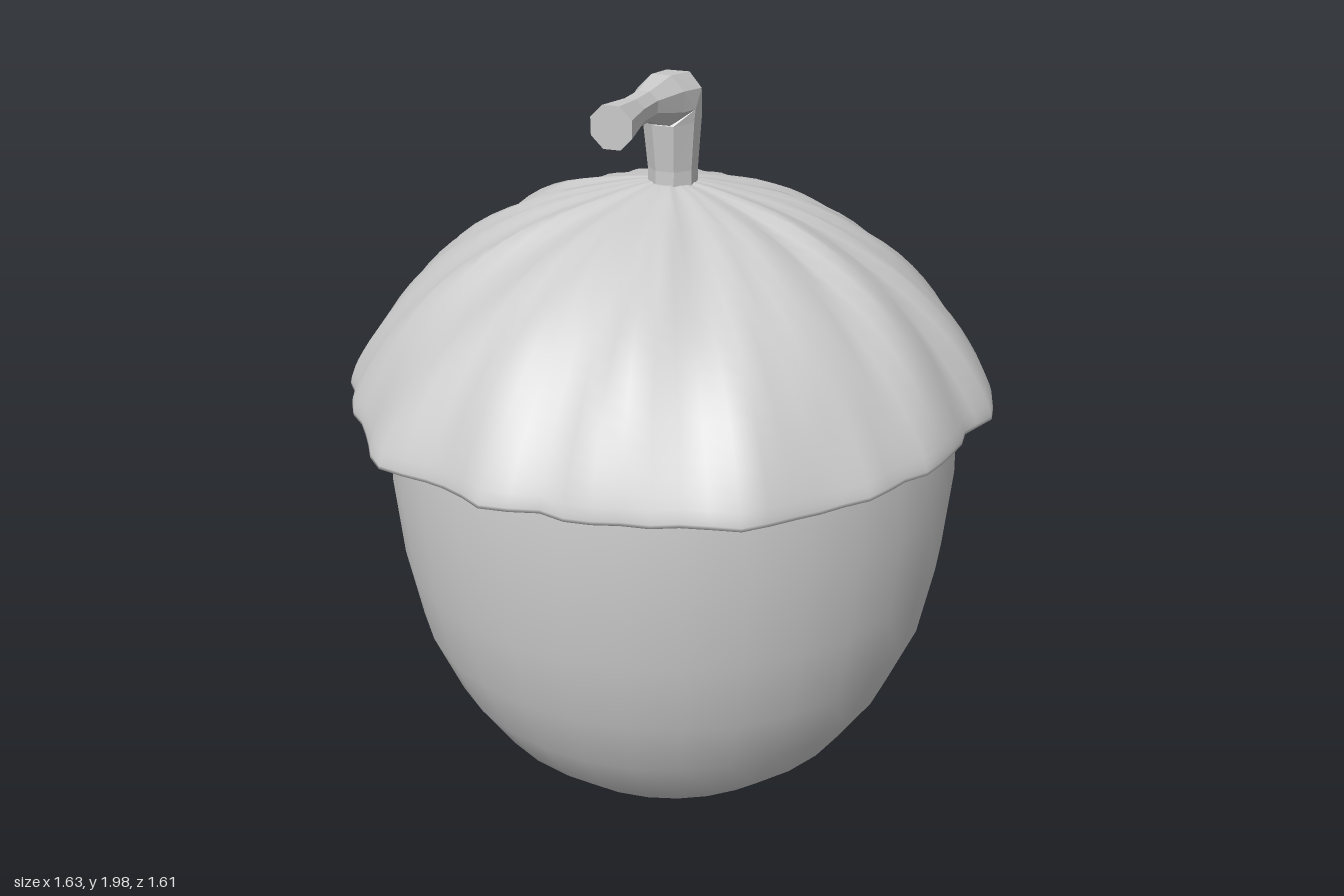
import * as THREE from 'three';
import { mergeVertices } from 'three/addons/utils/BufferGeometryUtils.js';

const material = (options = {}) => new THREE.MeshStandardMaterial({ color: 0xcccccc, ...options });

// Small seeded generator for the irregular rim
function seeded(seed) {
  return () => {
    seed = (seed * 16807) % 2147483647;
    return seed / 2147483647;
  };
}

// Turned body with welded seam; an optional rule moves each vertex
function turned(profile, segments, rule) {
  const geometry = new THREE.LatheGeometry(profile, segments);
  if (rule) {
    const p = geometry.attributes.position;
    const v = new THREE.Vector3();
    for (let i = 0; i < p.count; i++) {
      rule(v.fromBufferAttribute(p, i));
      p.setXYZ(i, v.x, v.y, v.z);
    }
  }
  geometry.deleteAttribute('uv');
  geometry.deleteAttribute('normal');
  const welded = mergeVertices(geometry, 1e-4);
  welded.computeVertexNormals();
  return welded;
}

const points = (list) => list.map(([r, y]) => new THREE.Vector2(r, y));

// Smooth nut with a small pointed tip
function createNut() {
  const profile = points([
    [0, 0.01], [0.07, 0.035], [0.14, 0.06], [0.19, 0.093], [0.28, 0.128], [0.4, 0.19],
    [0.51, 0.29], [0.6, 0.43], [0.67, 0.6], [0.705, 0.79], [0.722, 1.0], [0.715, 1.2], [0.69, 1.3],
  ]);
  const nut = new THREE.Mesh(turned(profile, 32), material({ side: THREE.DoubleSide }));
  nut.name = 'nut';
  nut.position.set(0.01, 0, -0.01);
  return nut;
}

// Wrinkled cap with a ragged rim
function createCap() {
  const random = seeded(71);
  const count = 40;
  const jitter = Array.from({ length: count }, () => random() - 0.5);
  const ragged = (angle) => {
    const t = ((angle / (2 * Math.PI) + 1) % 1) * count;
    const i = Math.floor(t) % count;
    return THREE.MathUtils.lerp(jitter[i], jitter[(i + 1) % count], t - Math.floor(t));
  };
  const dome = new THREE.SplineCurve(points([
    [0.795, 1.205], [0.785, 1.24], [0.74, 1.32], [0.665, 1.42], [0.56, 1.52],
    [0.43, 1.605], [0.3, 1.665], [0.17, 1.703], [0.07, 1.725], [0, 1.73],
  ])).getPoints(26);
  dome[dome.length - 1].x = 0;
  const profile = [...points([[0.66, 1.3], [0.7, 1.215], [0.76, 1.195]]), ...dome];

  const wrinkle = (v) => {
    const r = Math.hypot(v.x, v.z);
    if (r < 0.01) return;
    const angle = Math.atan2(v.x, v.z);
    const rim = THREE.MathUtils.smoothstep(r, 0.45, 0.8);
    const wave = 0.007 * Math.sin(17 * angle + 6 * r) + 0.007 * Math.sin(11 * angle - 9 * v.y)
      + 0.005 * Math.sin(29 * angle + 14 * r);
    const push = wave * Math.min(1, r / 0.3) + 0.035 * rim * ragged(angle + 0.25 * (v.y - 1.2));
    const scale = 1 + push / Math.max(r, 0.3);
    v.x *= scale;
    v.z *= scale;
    v.y += push * 0.5 * (1 - rim) + 0.014 * rim * ragged(angle * 1 + 2);
  };
  const cap = new THREE.Mesh(turned(profile, 80, wrinkle), material({ side: THREE.DoubleSide }));
  cap.name = 'cap';
  return cap;
}

// Faceted stem bent forward, with a flared end
function createStem() {
  const sides = 8;
  // [y, z, radius, lean towards the front]
  const sections = [
    [1.68, -0.005, 0.06, 0], [1.76, -0.005, 0.06, 0], [1.88, 0, 0.07, 0.12], [1.93, 0.01, 0.075, 0.8],
    [1.935, 0.075, 0.062, 1.5], [1.945, 0.18, 0.036, 1.52], [1.945, 0.26, 0.036, 1.57], [1.94, 0.37, 0.052, 1.6],
  ];
  const vertices = [];
  const faces = [];
  sections.forEach(([y, z, radius, lean], row) => {
    for (let j = 0; j < sides; j++) {
      const a = ((j + 0.5) / sides) * Math.PI * 2;
      const across = radius * Math.sin(a);
      vertices.push(0.01 + radius * Math.cos(a), y + across * Math.sin(lean), z - across * Math.cos(lean));
      if (row === 0) continue;
      const k = (j + 1) % sides;
      const low = (row - 1) * sides;
      const high = row * sides;
      faces.push(low + j, low + k, high + k, low + j, high + k, high + j);
    }
  });
  // Flat end
  const last = (sections.length - 1) * sides;
  for (let j = 1; j < sides - 1; j++) faces.push(last, last + j, last + j + 1);

  const geometry = new THREE.BufferGeometry();
  geometry.setAttribute('position', new THREE.Float32BufferAttribute(vertices, 3));
  geometry.setIndex(faces);
  const flat = geometry.toNonIndexed();
  flat.computeVertexNormals();
  const stem = new THREE.Mesh(flat, material({ flatShading: true }));
  stem.name = 'stem';
  return stem;
}

export function createModel() {
  const acorn = new THREE.Group();
  acorn.name = 'acorn';
  acorn.add(createNut(), createCap(), createStem());
  return acorn;
}
